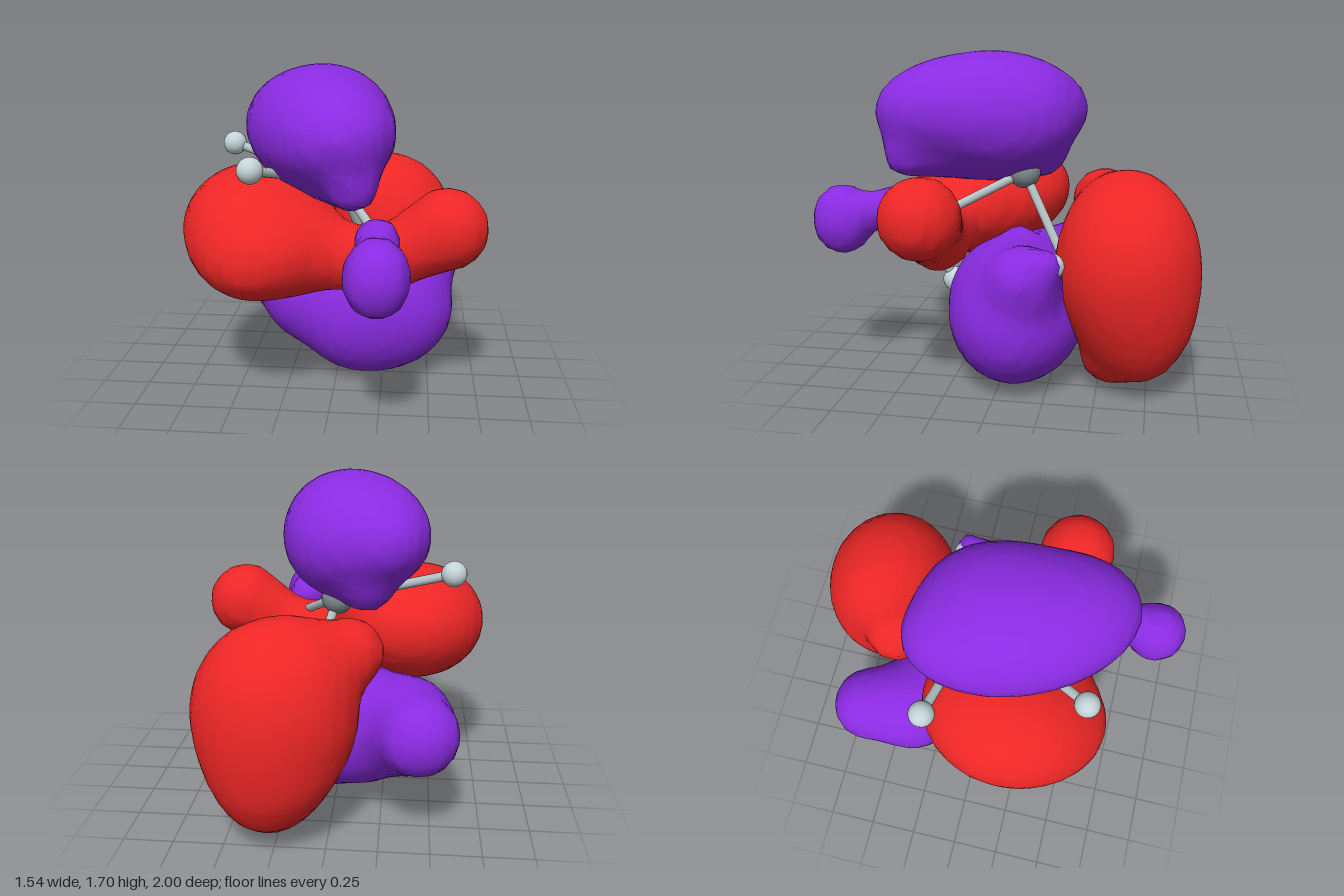
import * as THREE from 'three';

const RED = 0xee2626, PURPLE = 0x8a2be2;
const V = (a) => new THREE.Vector3(...a);

// Distance rules for the two building bricks of a lobe
function ellipsoid(center, radii, rot = [0, 0, 0]) {
  const c = V(center), r = V(radii), p = new THREE.Vector3(), q = new THREE.Vector3();
  const inv = new THREE.Quaternion().setFromEuler(new THREE.Euler(...rot)).invert();
  return (v) => {
    p.copy(v).sub(c).applyQuaternion(inv).divide(r);
    const k0 = p.length(), k1 = q.copy(p).divide(r).length();
    return k1 < 1e-6 ? -Math.min(...radii) : k0 * (k0 - 1) / k1;
  };
}
function taper(a, ra, b, rb) {
  const A = V(a), d = V(b).sub(A), p = new THREE.Vector3();
  return (v) => {
    p.copy(v).sub(A);
    const h = THREE.MathUtils.clamp(p.dot(d) / d.lengthSq(), 0, 1);
    return p.addScaledVector(d, -h).length() - THREE.MathUtils.lerp(ra, rb, h);
  };
}
function blend(a, b, k) {
  const h = Math.max(k - Math.abs(a - b), 0) / k;
  return Math.min(a, b) - h * h * k / 4;
}

// Skins a smooth union of bricks on a regular grid
function skin(bricks, k) {
  const step = 0.05, min = [-1.1, -0.1, -1.15], n = [44, 39, 47];
  const stride = [1, n[0], n[0] * n[1]];
  const field = new Float32Array(n[0] * n[1] * n[2]);
  const cellVertex = new Map(), pos = [], index = [], v = new THREE.Vector3();
  const each = (from, fn) => {
    for (let z = from; z < n[2] - 1; z++)
      for (let y = from; y < n[1] - 1; y++)
        for (let x = from; x < n[0] - 1; x++) fn([x, y, z], x + y * stride[1] + z * stride[2]);
  };
  field.fill(1);
  each(0, (g, i) => {
    v.set(...g.map((t, a) => min[a] + t * step));
    field[i] = bricks.map((b) => b(v)).reduce((s, d) => blend(s, d, k));
  });
  // one vertex per crossed cell, at the mean of its edge crossings
  each(0, (g, i) => {
    const sum = [0, 0, 0];
    let count = 0;
    for (let a = 0; a < 3; a++) {
      const b = (a + 1) % 3, c = (a + 2) % 3;
      for (let m = 0; m < 4; m++) {
        const ob = m & 1, oc = m >> 1;
        const j = i + ob * stride[b] + oc * stride[c];
        const f0 = field[j], f1 = field[j + stride[a]];
        if ((f0 < 0) === (f1 < 0)) continue;
        sum[a] += f0 / (f0 - f1);
        sum[b] += ob;
        sum[c] += oc;
        count++;
      }
    }
    if (!count) return;
    cellVertex.set(i, pos.length / 3);
    for (let a = 0; a < 3; a++) pos.push(min[a] + (g[a] + sum[a] / count) * step);
  });
  // one quad per crossed grid edge
  each(1, (g, i) => {
    for (let a = 0; a < 3; a++) {
      const inside = field[i] < 0;
      if (inside === field[i + stride[a]] < 0) continue;
      const sb = stride[(a + 1) % 3], sc = stride[(a + 2) % 3];
      const q = [i - sb - sc, i - sc, i, i - sb].map((c) => cellVertex.get(c));
      if (!inside) q.reverse();
      index.push(q[0], q[1], q[2], q[0], q[2], q[3]);
    }
  });
  const geo = new THREE.BufferGeometry();
  geo.setAttribute('position', new THREE.Float32BufferAttribute(pos, 3));
  geo.setIndex(index);
  geo.computeVertexNormals();
  return geo;
}

export function createModel() {
  const model = new THREE.Group();
  const add = (name, geo, color) => {
    const mesh = new THREE.Mesh(geo, new THREE.MeshStandardMaterial({ color }));
    mesh.name = name;
    model.add(mesh);
    return mesh;
  };
  const lobe = (name, color, k, ...bricks) => add(name, skin(bricks, k), color);

  // Upper lobe: tilted egg, fuller at the back, with a narrow keel
  lobe('topLobe', PURPLE, 0.12,
    ellipsoid([-0.08, 1.385, 0.155], [0.35, 0.305, 0.575], [0, 0.4, 0]),
    ellipsoid([-0.01, 1.36, 0.03], [0.29, 0.29, 0.36]),
    taper([-0.16, 1.14, -0.16], 0.11, [0.12, 1.16, 0.53], 0.11));

  // Front lobe: large right-hand body joined to a small left-hand bulb
  lobe('frontLobe', RED, 0.1,
    ellipsoid([-0.36, 0.86, 0.2], [0.385, 0.3, 0.49], [0.22, 0, 0]),
    ellipsoid([-0.44, 0.91, 0.17], [0.31, 0.265, 0.38]),
    taper([-0.15, 0.8, 0.32], 0.21, [0.25, 0.75, 0.33], 0.14),
    taper([0.25, 0.75, 0.33], 0.14, [0.565, 0.925, 0.335], 0.205));

  // Bottom lobe: deep bowl, raised ridges and a limb sweeping to the back
  lobe('bottomLobe', PURPLE, 0.1,
    ellipsoid([0.2, 0.375, -0.07], [0.43, 0.37, 0.345]),
    taper([0.2, 0.49, -0.02], 0.25, [0.49, 0.63, -0.13], 0.16),
    taper([0.47, 0.62, -0.2], 0.14, [0.56, 0.73, -0.28], 0.07),
    taper([0.15, 0.5, -0.1], 0.2, [0.07, 0.74, -0.07], 0.06),
    taper([0.1, 0.36, -0.08], 0.32, [-0.14, 0.42, -0.2], 0.29),
    taper([-0.14, 0.42, -0.2], 0.29, [-0.36, 0.5, -0.38], 0.23),
    taper([-0.36, 0.5, -0.38], 0.23, [-0.43, 0.55, -0.6], 0.2));

  // Back lobe: crescent from an upper tip round to a foot
  lobe('backLobe', RED, 0.1,
    ellipsoid([0.25, 0.66, -0.64], [0.4, 0.455, 0.36]),
    taper([0.1, 0.86, -0.6], 0.25, [-0.09, 0.92, -0.5], 0.17),
    ellipsoid([0.28, 0.45, -0.69], [0.29, 0.38, 0.28]),
    taper([0.24, 0.42, -0.65], 0.27, [0.22, 0.17, -0.55], 0.14));

  // Small front bulb on a neck
  lobe('frontBulb', PURPLE, 0.06,
    ellipsoid([0.245, 0.835, 0.84], [0.155, 0.185, 0.16]),
    taper([0.25, 0.87, 0.78], 0.085, [0.235, 0.91, 0.54], 0.115));

  // Ball and stick skeleton
  const atoms = {
    upperCore: [0, 1.07, -0.08], lowerCore: [0.15, 0.62, -0.32], frontCore: [0.28, 0.83, 0.42],
    sideTip: [-0.585, 1.24, -0.21], frontTip: [-0.36, 1.24, 0.54], lowTip: [0.21, 0.53, 0.25],
    leftTip: [0.52, 0.71, -0.29], footTip: [0.1, 0.22, -0.45],
  };
  for (const [name, p] of Object.entries(atoms)) {
    const core = name.endsWith('Core');
    const ball = new THREE.SphereGeometry(core ? 0.085 : 0.064, 20, 14);
    add(name, ball, core ? 0x7d8a8c : 0xc4d4d8).position.set(...p);
  }
  const bonds = [
    ['upperCore', 'lowerCore'], ['upperCore', 'frontCore'], ['upperCore', 'sideTip'],
    ['upperCore', 'frontTip'], ['frontCore', 'lowTip'], ['lowerCore', 'leftTip'],
    ['lowerCore', 'footTip'],
  ];
  for (const [from, to] of bonds) {
    const a = V(atoms[from]), d = V(atoms[to]).sub(a);
    const rod = add('bond', new THREE.CylinderGeometry(0.024, 0.024, d.length(), 12), 0xb4c2c5);
    rod.position.copy(a).addScaledVector(d, 0.5);
    rod.quaternion.setFromUnitVectors(new THREE.Vector3(0, 1, 0), d.normalize());
  }
  return model;
}
